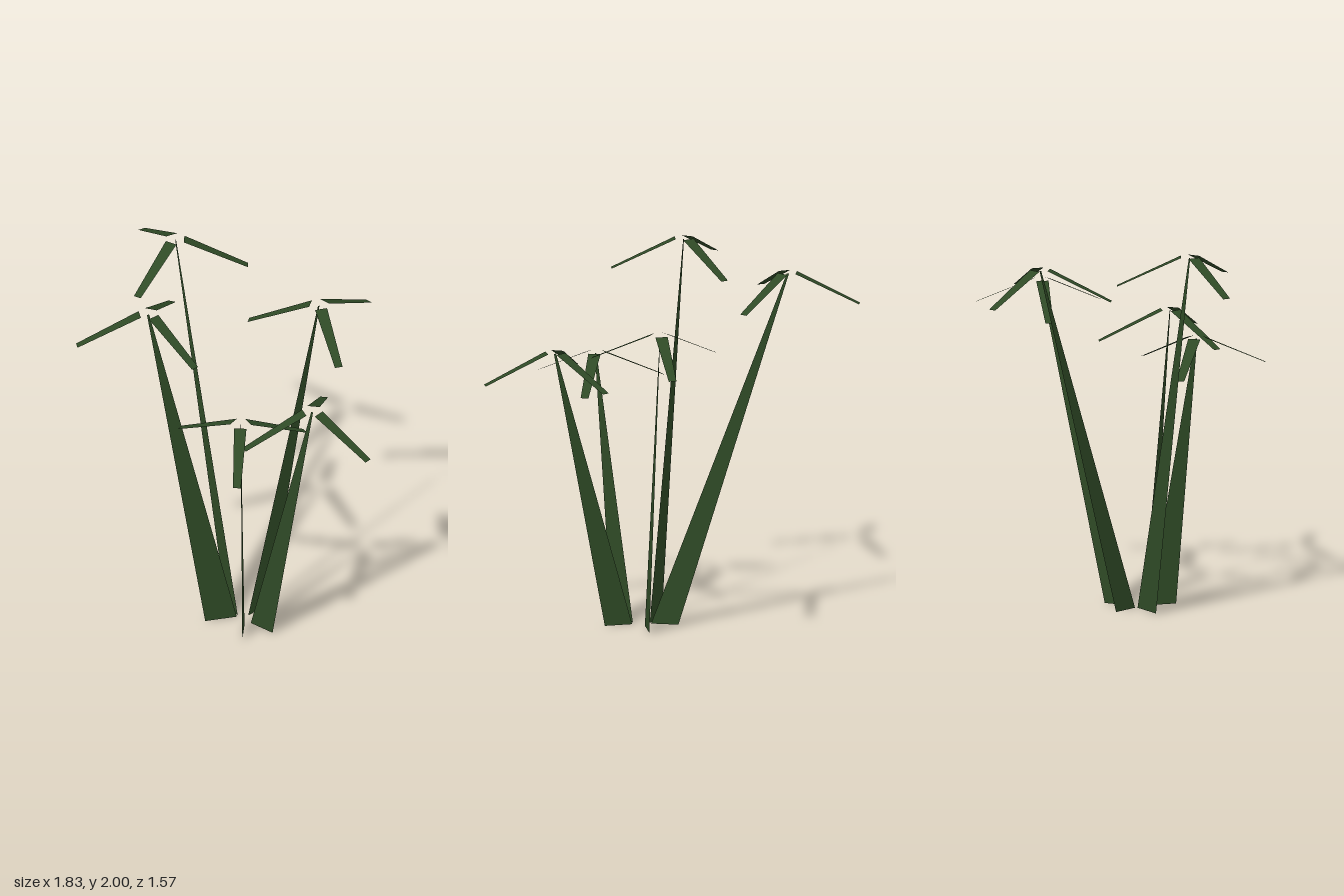
import * as THREE from 'three';

const green = new THREE.MeshStandardMaterial({ color: 0x2f4a26, side: THREE.DoubleSide });
green.name = 'dark leaf green';

// Each stalk: outer foot corner [x, z], foot width, tip [x, y, z], angle of its first leaf in degrees
const stalks = [
  { outer: [-0.10, 0.042], width: 0.147, tip: [-0.583, 1.96, -0.295], turn: 93.5 },
  { outer: [-0.105, 0.257], width: 0.173, tip: [-0.335, 2.0, 0.47], turn: 21 },
  { outer: [0.115, -0.05], width: 0.157, tip: [0.222, 1.73, -0.405], turn: 45.5 },
  { outer: [0.264, 0.187], width: 0.15, tip: [0.532, 1.52, 0.24], turn: 11 },
  { outer: [0.157, 0.327], width: 0.148, tip: [0.202, 1.443, 0.428], turn: 64.5 },
];

// Flat four-cornered blade, corners in order around the edge
function blade(name, corners) {
  const geometry = new THREE.BufferGeometry();
  geometry.setAttribute('position', new THREE.Float32BufferAttribute(corners.flat(), 3));
  geometry.setIndex([0, 1, 2, 0, 2, 3]);
  geometry.computeVertexNormals();
  const mesh = new THREE.Mesh(geometry, green);
  mesh.name = name;
  return mesh;
}

// Flat stem standing in the upright plane it leans in, narrowing to the tip
function makeStem({ outer: [ox, oz], width, tip: [x, y, z] }) {
  const reach = Math.hypot(x - ox, z - oz);
  const dx = (x - ox) / reach, dz = (z - oz) / reach;
  const half = 0.006;
  return blade('stem', [
    [ox - dx * width, 0, oz - dz * width],
    [ox, 0, oz],
    [x + dx * half, y - 0.01, z + dz * half],
    [x - dx * half, y - 0.01, z - dz * half],
  ]);
}

// Drooping leaf pointing along +x, level across its width
function makeLeaf() {
  return blade('leaf', [
    [0.045, -0.003, 0.033],
    [0.385, -0.16, 0.021],
    [0.385, -0.16, -0.021],
    [0.045, -0.003, -0.033],
  ]);
}

export function createModel() {
  const model = new THREE.Group();
  model.name = 'plant';
  for (const stalk of stalks) {
    const group = new THREE.Group();
    group.name = 'stalk';
    group.add(makeStem(stalk));

    // Three leaves spread evenly around the tip
    const crown = new THREE.Group();
    crown.name = 'leafCrown';
    crown.position.set(...stalk.tip);
    for (let i = 0; i < 3; i++) {
      const leaf = makeLeaf();
      leaf.rotation.y = -THREE.MathUtils.degToRad(stalk.turn + i * 120);
      crown.add(leaf);
    }
    group.add(crown);
    model.add(group);
  }
  return model;
}
